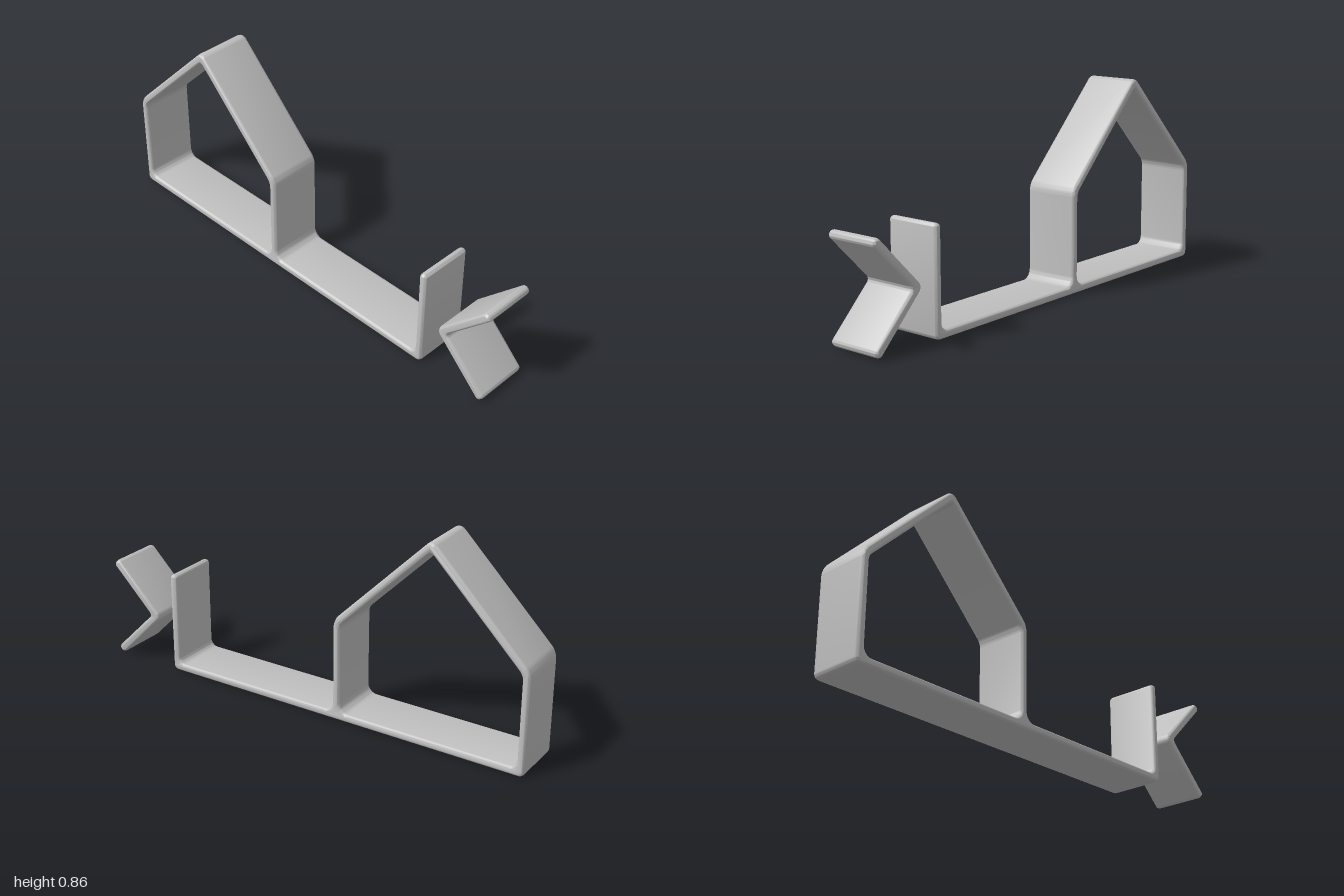
import * as THREE from 'three';
import { toCreasedNormals } from 'three/addons/utils/BufferGeometryUtils.js';

const DEPTH = 0.24, BEVEL = 0.011, BEVEL_Z = 0.018;

// Trace a closed outline of [x, y, cornerRadius] points, rounding each corner.
function roundedOutline(path, points) {
  const n = points.length;
  const at = i => new THREE.Vector2(points[(i + n) % n][0], points[(i + n) % n][1]);
  for (let i = 0; i < n; i++) {
    const p = at(i), r = points[i][2];
    const toPrev = at(i - 1).sub(p).normalize();
    const toNext = at(i + 1).sub(p).normalize();
    const a = p.clone().addScaledVector(toPrev, r), b = p.clone().addScaledVector(toNext, r);
    const c = p.clone().addScaledVector(toPrev, r * 0.45), d = p.clone().addScaledVector(toNext, r * 0.45);
    if (i === 0) path.moveTo(a.x, a.y);
    else path.lineTo(a.x, a.y);
    path.bezierCurveTo(c.x, c.y, d.x, d.y, b.x, b.y);
  }
  path.closePath();
  return path;
}

// Extrude a flat outline into a soft-edged strip centred on z = 0.
function strip(name, shape, material) {
  const geometry = new THREE.ExtrudeGeometry(shape, {
    depth: DEPTH - 2 * BEVEL_Z, curveSegments: 8, bevelEnabled: true,
    bevelSize: BEVEL, bevelOffset: -BEVEL, bevelThickness: BEVEL_Z, bevelSegments: 5,
  });
  geometry.translate(0, 0, BEVEL_Z - DEPTH / 2);
  const mesh = new THREE.Mesh(toCreasedNormals(geometry, 0.7), material);
  mesh.name = name;
  return mesh;
}

export function createModel() {
  const group = new THREE.Group();
  group.name = 'houseShelf';
  const grey = new THREE.MeshStandardMaterial({ color: 0xbfbfbf });
  grey.name = 'lightGrey';

  // House walls, pitched roof, long floor and upright end stop in one strip
  const frame = roundedOutline(new THREE.Shape(), [
    [-1, 0.002, 0.025], [0.69, 0.002, 0.025],
    [0.69, 0.45, 0.016], [0.657, 0.45, 0.016],
    [0.657, 0.037, 0.03], [-0.138, 0.037, 0.04],
    [-0.138, 0.444, 0.03], [-0.569, 0.875, 0.03], [-1, 0.444, 0.03],
  ]);
  // House opening
  frame.holes.push(roundedOutline(new THREE.Path(), [
    [-0.967, 0.037, 0.035], [-0.171, 0.037, 0.04],
    [-0.171, 0.427, 0.02], [-0.569, 0.825, 0.015], [-0.967, 0.427, 0.02],
  ]));
  group.add(strip('houseFrame', frame, grey));

  // Separate V-shaped piece pointing at the end stop
  const chevron = roundedOutline(new THREE.Shape(), [
    [0.753, 0.23, 0.03], [0.98, 0.003, 0.017], [1.007, 0.03, 0.017],
    [0.807, 0.23, 0.015], [1.007, 0.43, 0.017], [0.98, 0.457, 0.017],
  ]);
  group.add(strip('chevron', chevron, grey));
  return group;
}
